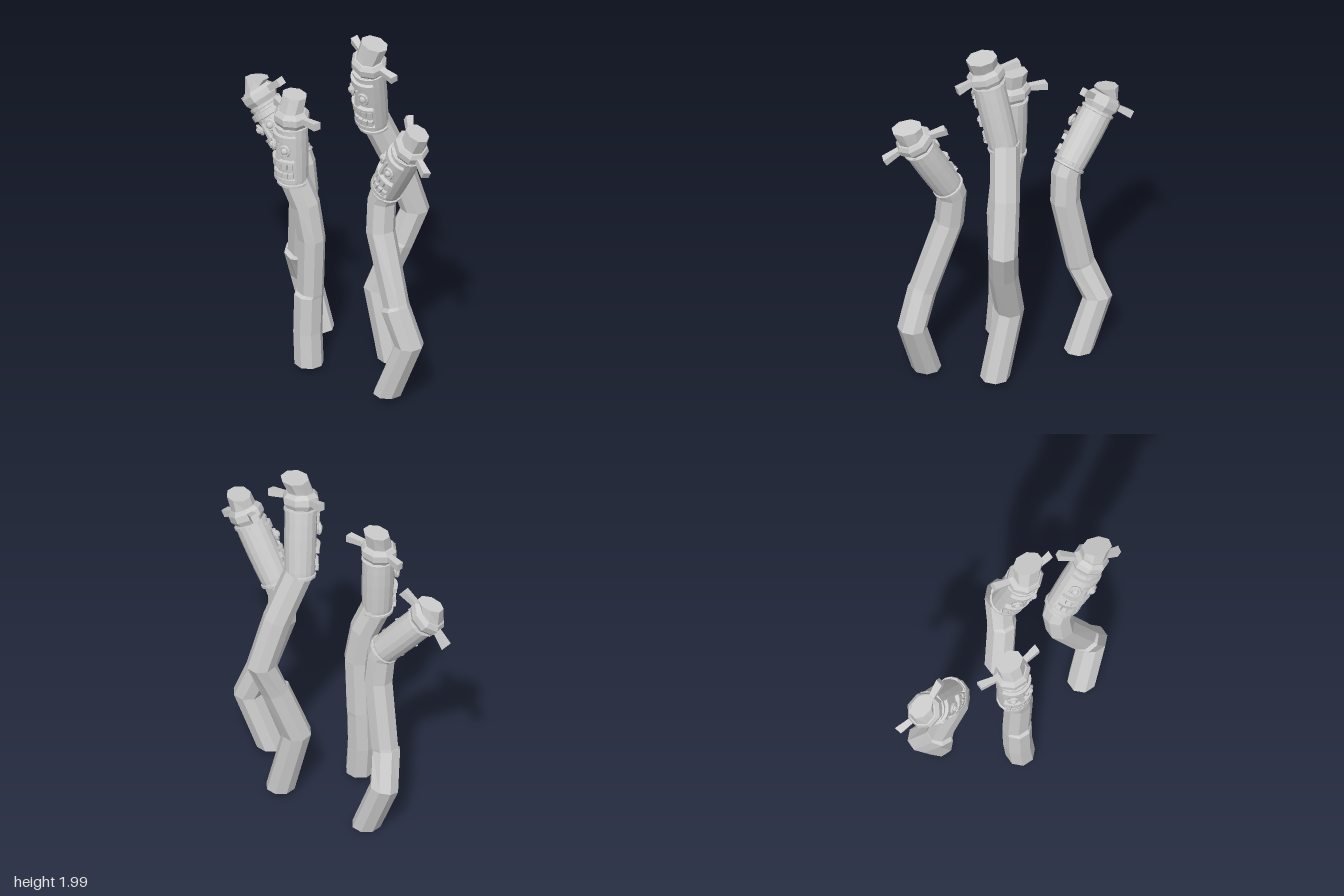
import * as THREE from 'three';

const flat = new THREE.MeshStandardMaterial({ color: 0xcccccc, flatShading: true, side: THREE.DoubleSide });
const V = (x, y, z) => new THREE.Vector3(x, y, z);

// path points are [x, y, z, front depth factor]; head runs from the neck to the hat base;
// hat gives its roll and the shift, height, radius and slants of its cut top
const poles = [
  {
    name: 'leftLeaningPole', yaw: 0.1,
    path: [[-0.36, 0, -0.08], [-0.475, 0.29, -0.065], [-0.415, 0.47, 0.015], [-0.409, 0.485, 0.015, 0.75],
      [-0.335, 0.88, 0.04], [-0.345, 1.04, 0.05], [-0.38, 1.12, 0.06]],
    neck: [-0.355, 1.07, 0.05], crown: [-0.573, 1.34, 0.13],
    hat: { roll: 0, dx: 0.043, dz: -0.015, height: 0.125, radius: 0.067, slantX: -0.5, slantZ: 0.1 },
  },
  {
    name: 'frontPole', yaw: 0,
    path: [[-0.04, 0.03, 0.215], [-0.055, 0.22, 0.212], [-0.055, 0.44, 0.206], [-0.053, 0.455, 0.204, 0.8],
      [-0.04, 0.78, 0.203, 0.85], [-0.07, 0.98, 0.217], [-0.12, 1.13, 0.255]],
    neck: [-0.12, 1.1, 0.26], crown: [-0.127, 1.46, 0.264],
    hat: { roll: 0, dx: 0, dz: -0.022, height: 0.165, radius: 0.079, slantX: 0, slantZ: 0 },
  },
  {
    name: 'tallPole', yaw: 0,
    path: [[0.17, 0.03, -0.175], [0.075, 0.42, -0.15], [0.15, 0.71, -0.235], [0.153, 0.725, -0.24, 0.8],
      [0.185, 0.9, -0.31], [0.14, 1.18, -0.235], [0.09, 1.45, -0.125]],
    neck: [0.088, 1.42, -0.115], crown: [0.149, 1.82, -0.04],
    hat: { roll: -0.06, dx: 0.005, dz: -0.037, height: 0.165, radius: 0.085, slantX: 0.1, slantZ: 0.2 },
  },
  {
    name: 'rightLeaningPole', yaw: -0.33,
    path: [[0.46, 0.03, 0.06], [0.57, 0.35, 0.0], [0.495, 0.55, 0.035], [0.488, 0.565, 0.035, 0.75],
      [0.345, 0.95, 0.025], [0.335, 1.13, 0.01], [0.37, 1.22, 0]],
    neck: [0.355, 1.18, 0], crown: [0.545, 1.507, -0.015],
    hat: { roll: 0, dx: -0.012, dz: 0, height: 0.155, radius: 0.079, slantX: 0.35, slantZ: 0 },
  },
];

function add(parent, name, geometry, x = 0, y = 0, z = 0) {
  const mesh = new THREE.Mesh(geometry, flat);
  mesh.name = name;
  mesh.position.set(x, y, z);
  parent.add(mesh);
  return mesh;
}

// Octagonal post swept along a crooked path, with a ledge cut into its front
function postGeometry(path) {
  const sides = 8, radius = 0.079, pos = [], index = [];
  const pts = path.map(p => V(p[0], p[1], p[2]));
  // points either side of the ledge are treated as one when finding directions
  const bend = i => {
    if (i === 0) return V(0, 1, 0);
    const before = pts[i === 3 ? 1 : i - 1], after = pts[Math.min(i === 2 ? 4 : i + 1, pts.length - 1)];
    const a = pts[i].clone().sub(before).normalize();
    const b = after.clone().sub(pts[i]).normalize();
    return a.add(b).normalize();
  };
  pts.forEach((p, i) => {
    const Y = bend(i);
    const X = Y.clone().cross(V(0, 0, 1)).normalize();
    const Z = X.clone().cross(Y);
    for (let s = 0; s < sides; s++) {
      const a = (s + 0.5) / sides * Math.PI * 2;
      const depth = Math.cos(a) > 0 ? path[i][3] || 1 : 1;
      const q = p.clone().addScaledVector(X, radius * Math.sin(a)).addScaledVector(Z, radius * depth * Math.cos(a));
      pos.push(q.x, q.y, q.z);
    }
  });
  const last = (pts.length - 1) * sides, c0 = pts.length * sides, c1 = c0 + 1;
  pos.push(...pts[0].toArray(), ...pts[pts.length - 1].toArray());
  for (let s = 0; s < sides; s++) {
    const n = (s + 1) % sides;
    for (let k = 0; k < last; k += sides) {
      index.push(k + s, k + n, k + sides + s, k + n, k + sides + n, k + sides + s);
    }
    index.push(c0, n, s, c1, last + s, last + n);
  }
  const g = new THREE.BufferGeometry();
  g.setAttribute('position', new THREE.Float32BufferAttribute(pos, 3));
  g.setIndex(index);
  g.computeVertexNormals();
  return g;
}

// Turned shape, optionally only an arc centred on the front
function turned(profile, segments, arc = Math.PI * 2) {
  const pts = profile.map(([r, y]) => new THREE.Vector2(r, y));
  return new THREE.LatheGeometry(pts, segments, -arc / 2, arc);
}
const band = (r, y0, y1, segments = 16, arc = Math.PI * 2) =>
  turned([[0.07, y0], [r, y0 + 0.006], [r, y1 - 0.006], [0.07, y1]], segments, arc);

function buildHead() {
  const head = new THREE.Group();
  head.name = 'head';
  add(head, 'skull', turned([[0, 0], [0.076, 0], [0.081, 0.04], [0.084, 0.12], [0.086, 0.2], [0.086, 0.28],
    [0.084, 0.345], [0, 0.352]], 16));
  add(head, 'neckRing', band(0.087, 0.002, 0.026));
  add(head, 'topRing', band(0.091, 0.322, 0.348));
  add(head, 'brow', band(0.102, 0.272, 0.315, 10, 2.3));

  // Mouth: lips with two parted rows of teeth around the front
  add(head, 'upperLip', band(0.107, 0.15, 0.174, 8, 2.1));
  add(head, 'lowerLip', band(0.1, 0.036, 0.068, 8, 2.1));
  for (let i = 0; i < 6; i++) {
    const a = (i - 2.5) * 0.33;
    for (const [name, y, r] of [['upperTooth', 0.136, 0.092], ['lowerTooth', 0.08, 0.087]]) {
      const tooth = add(head, name, new THREE.BoxGeometry(0.025, 0.03, 0.022), r * Math.sin(a), y, r * Math.cos(a));
      tooth.rotation.y = a;
    }
  }

  // Nose and ringed eyes
  const nose = new THREE.CylinderGeometry(0.008, 0.018, 0.085, 4, 1);
  nose.rotateY(Math.PI / 4);
  add(head, 'nose', nose, 0, 0.213, 0.09);
  for (const side of [-1, 1]) {
    const eye = new THREE.Group();
    eye.name = 'eye';
    eye.position.set(side * 0.047, 0.232, 0.078);
    eye.rotation.y = side * 0.45;
    add(eye, 'eyeRing', new THREE.TorusGeometry(0.026, 0.009, 6, 12), 0, 0, 0.008);
    add(eye, 'eyeball', new THREE.SphereGeometry(0.02, 10, 8), 0, 0, 0.01);
    head.add(eye);
  }
  return head;
}

function buildHat({ roll, dx, dz, height, radius, slantX, slantZ }) {
  const hat = new THREE.Group();
  hat.name = 'hat';
  hat.rotation.z = roll;
  const crown = turned([[0, -0.01], [0.082, -0.01], [0.103, 0.022], [0.103, 0.058], [0.084, 0.08],
    [0.075, 0.081], [radius, height], [0, height]], 8);
  crown.rotateY(Math.PI / 8);
  // flatten front to back, lean the crown and cut its top on a slant
  const p = crown.attributes.position;
  for (let i = 0; i < p.count; i++) {
    const x = p.getX(i), y = p.getY(i), z = p.getZ(i);
    if (y > 0.1) p.setXYZ(i, x + dx, y + slantX * x + slantZ * z, z * 0.76 + dz);
    else p.setZ(i, z * 0.9);
  }
  crown.computeVertexNormals();
  add(hat, 'hatCrown', crown);

  // Flared side paddles
  for (const side of [-1, 1]) {
    const paddle = new THREE.BoxGeometry(0.11, 0.03, 0.03);
    const q = paddle.attributes.position;
    for (let i = 0; i < q.count; i++) {
      if (q.getX(i) * side > 0) q.setXYZ(i, q.getX(i), q.getY(i) * 1.4, q.getZ(i) * 1.4 - 0.02);
    }
    add(hat, 'hatPaddle', paddle, side * 0.13, 0.045, -0.014);
  }
  return hat;
}

export function createModel() {
  const model = new THREE.Group();
  model.name = 'carvedPoles';
  for (const { name, path, neck, crown, yaw, hat: hatShape } of poles) {
    const pole = new THREE.Group();
    pole.name = name;
    add(pole, 'post', postGeometry(path));

    // Head and hat share a frame along the neck-to-crown axis
    const top = new THREE.Group();
    top.name = 'carvedTop';
    const axis = V(...crown).sub(V(...neck));
    const length = axis.length();
    const Y = axis.normalize();
    const X = Y.clone().cross(V(Math.sin(yaw), 0, Math.cos(yaw))).normalize();
    const Z = X.clone().cross(Y);
    top.quaternion.setFromRotationMatrix(new THREE.Matrix4().makeBasis(X, Y, Z));
    top.position.set(...neck);
    const head = buildHead();
    head.scale.y = length / 0.35;
    const hat = buildHat(hatShape);
    hat.position.y = length;
    top.add(head, hat);
    pole.add(top);
    model.add(pole);
  }
  return model;
}
